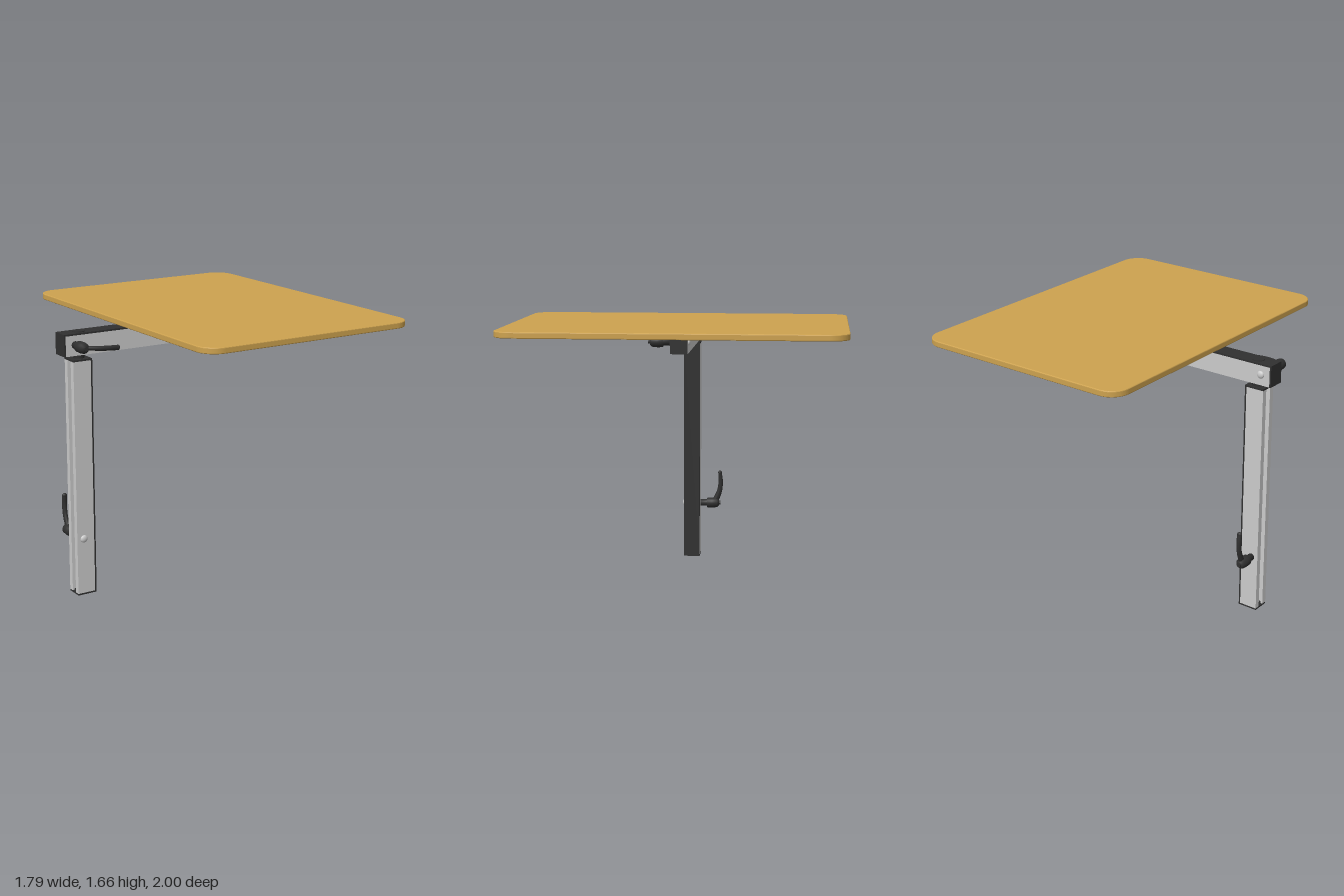
import * as THREE from 'three';

const material = (color, side = THREE.FrontSide) =>
  new THREE.MeshStandardMaterial({ color, side });
const wood = material(0xcda24f);
const dark = material(0x303030);
const grey = material(0xcccccc);

function add(parent, name, geometry, mat, x = 0, y = 0, z = 0) {
  const mesh = new THREE.Mesh(geometry, mat);
  mesh.name = name;
  mesh.position.set(x, y, z);
  parent.add(mesh);
  return mesh;
}

// Rounded rectangle centred on (cx, cy)
function roundedRect(w, h, r, cx = 0, cy = 0, Type = THREE.Shape) {
  const s = new Type(), a = w / 2 - r, b = h / 2 - r;
  s.absarc(cx + a, cy + b, r, 0, Math.PI / 2);
  s.absarc(cx - a, cy + b, r, Math.PI / 2, Math.PI);
  s.absarc(cx - a, cy - b, r, Math.PI, Math.PI * 1.5);
  s.absarc(cx + a, cy - b, r, Math.PI * 1.5, Math.PI * 2);
  s.closePath();
  return s;
}

// Slotted channel along x: slot below, dark cover strip above, dark end caps
function rail(name, length, width, height) {
  const g = new THREE.Group();
  g.name = name;
  const w = width / 2, h = height / 2, t = 0.012, slot = 0.02, cover = 0.01, cap = 0.01;
  const top = h - cover;
  const shape = new THREE.Shape([
    [-slot, -h], [-slot, -h + t], [-w + t, -h + t], [-w + t, top - t],
    [w - t, top - t], [w - t, -h + t], [slot, -h + t], [slot, -h],
    [w, -h], [w, top], [-w, top], [-w, -h],
  ].map(([x, y]) => new THREE.Vector2(x, y)));
  const body = new THREE.ExtrudeGeometry(shape, { depth: length - 2 * cap, bevelEnabled: false });
  body.translate(0, 0, -length / 2 + cap).rotateY(Math.PI / 2);
  add(g, 'channel', body, grey);
  add(g, 'coverStrip', new THREE.BoxGeometry(length, cover, width), dark, 0, h - cover / 2);
  for (const s of [-1, 1]) {
    add(g, 'endCap', new THREE.BoxGeometry(cap, height - cover, width), dark,
      s * (length - cap) / 2, -cover / 2);
  }
  return g;
}

// Clamp lever: hub along local +z, curved handle along local +x
function clampLever(name) {
  const g = new THREE.Group();
  g.name = name;
  const profile = [[0, 0], [0.022, 0], [0.022, 0.042], [0.033, 0.047], [0.034, 0.08],
    [0.031, 0.112], [0.02, 0.125], [0, 0.128]].map(([r, y]) => new THREE.Vector2(r, y));
  add(g, 'hub', new THREE.LatheGeometry(profile, 24).rotateX(Math.PI / 2), dark);
  add(g, 'screwEnd', new THREE.CylinderGeometry(0.013, 0.013, 0.01, 16).rotateX(Math.PI / 2),
    dark, 0, 0, 0.13);

  const curve = new THREE.CatmullRomCurve3([[0, 0, 0.09], [0.04, 0, 0.112], [0.09, 0, 0.13],
    [0.15, 0, 0.136], [0.208, 0, 0.131]].map(p => new THREE.Vector3(...p)));
  const rings = 24, sides = 12;
  const tube = new THREE.TubeGeometry(curve, rings, 1, sides);
  const pos = tube.attributes.position, p = new THREE.Vector3();
  // Taper: deep at the hub, flat and broad at the tip
  for (let i = 0; i < pos.count; i++) {
    const u = Math.floor(i / (sides + 1)) / rings;
    const c = curve.getPointAt(u);
    p.fromBufferAttribute(pos, i).sub(c);
    const depth = 0.021 - 0.009 * u, breadth = 0.013 + 0.003 * u;
    pos.setXYZ(i, c.x + p.x * depth, c.y + p.y * breadth, c.z + p.z * depth);
  }
  tube.computeVertexNormals();
  add(g, 'handle', tube, dark);
  add(g, 'handleTip', new THREE.SphereGeometry(0.016, 16, 12), dark, 0.208, 0, 0.131)
    .scale.set(0.8, 1, 0.8);
  return g;
}

// Domed bolt head facing +z (dir 1) or -z (dir -1)
function boltHead(parent, x, y, z, dir) {
  const dome = new THREE.SphereGeometry(0.023, 20, 8, 0, Math.PI * 2, 0, Math.PI / 2);
  dome.scale(1, 0.6, 1).rotateX(dir * Math.PI / 2);
  add(parent, 'boltHead', dome, grey, x, y, z);
}

export function createModel() {
  const model = new THREE.Group();
  model.name = 'swivelTable';

  // Tabletop
  const top = new THREE.ExtrudeGeometry(roundedRect(1.413, 1.988, 0.11), {
    depth: 0.025, bevelThickness: 0.006, bevelSize: 0.006, bevelSegments: 3, curveSegments: 16,
  });
  add(model, 'tabletop', top.rotateX(-Math.PI / 2), wood, 0.178, 1.626, 0);

  // Mounting plate under the tabletop, with slots and screw holes
  const plate = roundedRect(0.235, 0.46, 0.02);
  for (const sx of [-1, 1]) {
    for (const sy of [-1, 1]) {
      plate.holes.push(roundedRect(0.03, 0.03, 0.0149, sx * 0.085, sy * 0.195, THREE.Path));
      plate.holes.push(roundedRect(0.022, 0.09, 0.0109, sx * 0.06, sy * 0.105, THREE.Path));
    }
  }
  const plateGeometry = new THREE.ExtrudeGeometry(plate, { depth: 0.01, bevelEnabled: false });
  add(model, 'mountingPlate', plateGeometry.rotateX(-Math.PI / 2), grey, 0.167, 1.61, 0.015);

  // Upright post and horizontal arm
  const post = rail('post', 1.45, 0.106, 0.124);
  post.rotation.z = -Math.PI / 2;
  post.position.set(-0.78, 0.725, 0.008);
  const arm = rail('arm', 1.16, 0.106, 0.13);
  arm.position.set(-0.315, 1.54, 0.002);
  model.add(post, arm);

  // Swivel pins: post to arm, arm to tabletop
  const pin = (name, x, r, y0, y1, mat) => add(model, name,
    new THREE.CylinderGeometry(r, r, y1 - y0, 24), mat, x, (y0 + y1) / 2, 0.002);
  pin('postSwivel', -0.775, 0.033, 1.44, 1.49, dark);
  pin('postSwivelCap', -0.775, 0.036, 1.6, 1.61, dark);
  pin('tableSwivel', 0.14, 0.036, 1.47, 1.612, grey);

  // Clamp levers
  const levers = [
    ['postLever', -0.797, 0.355, -0.045, Math.PI, Math.PI / 2],
    ['armOuterLever', -0.825, 1.54, 0.055, 0, -0.07],
    ['armInnerLever', 0.2, 1.543, 0.055, 0, Math.PI + 0.07],
  ];
  for (const [name, x, y, z, turn, swing] of levers) {
    const lever = clampLever(name);
    lever.position.set(x, y, z);
    lever.rotation.set(0, turn, swing);
    model.add(lever);
  }

  // Bolt heads opposite the levers
  boltHead(model, -0.797, 0.355, 0.061, 1);
  boltHead(model, -0.825, 1.54, -0.051, -1);
  boltHead(model, 0.2, 1.543, -0.051, -1);

  return model;
}
